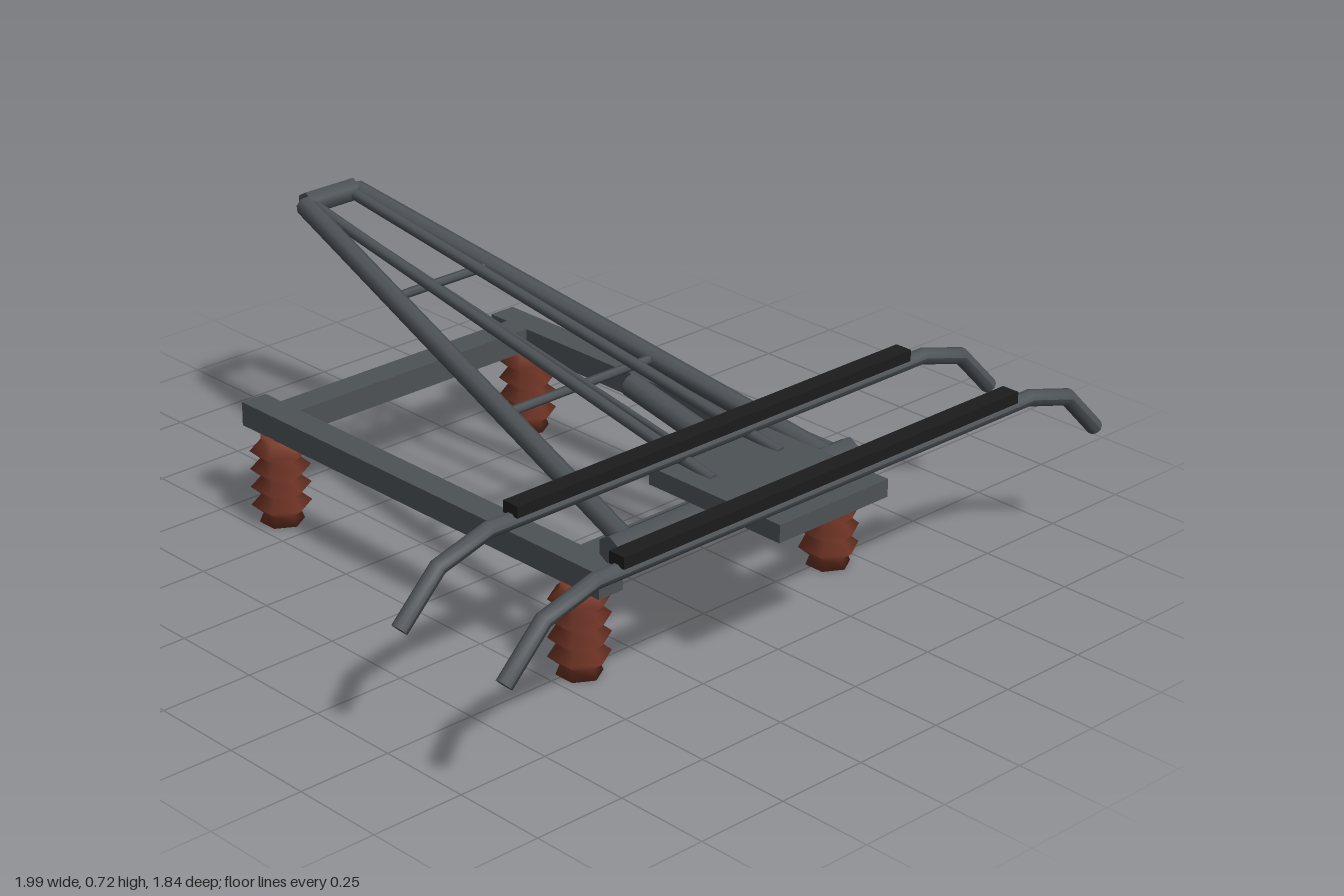
import * as THREE from 'three';

export function createModel() {
  const model = new THREE.Group();
  model.name = 'currentCollector';

  const mat = (name, color) => {
    const m = new THREE.MeshStandardMaterial({ color });
    m.name = name;
    return m;
  };
  const steel = mat('grey steel', 0x4d5256);
  const ceramic = mat('brown ceramic', 0x7a3a2a);
  const carbon = mat('black carbon', 0x1c1c1c);

  const add = (name, geo, material, x = 0, y = 0, z = 0) => {
    const mesh = new THREE.Mesh(geo, material);
    mesh.name = name;
    mesh.position.set(x, y, z);
    model.add(mesh);
    return mesh;
  };
  const box = (name, w, h, d, material, x, y, z) =>
    add(name, new THREE.BoxGeometry(w, h, d), material, x, y, z);

  // Round bar between two points
  const bar = (name, a, b, r, sides = 8) => {
    const p = new THREE.Vector3(...a), q = new THREE.Vector3(...b);
    const dir = q.clone().sub(p);
    const mesh = add(name, new THREE.CylinderGeometry(r, r, dir.length(), sides), steel);
    mesh.position.copy(p).add(q).multiplyScalar(0.5);
    mesh.quaternion.setFromUnitVectors(new THREE.Vector3(0, 1, 0), dir.normalize());
    return mesh;
  };

  // Hexagonal bar lying across the model, one edge on top
  const hexBar = (name, length, r, y, z) => {
    const geo = new THREE.CylinderGeometry(r, r, length, 6);
    geo.rotateY(Math.PI / 2).rotateZ(Math.PI / 2);
    return add(name, geo, steel, 0, y, z);
  };

  // Base frame
  for (const s of [1, -1]) {
    box('sideRail', 0.076, 0.064, 1.315, steel, s * 0.422, 0.274, -0.04);
  }
  box('rearCrossRail', 0.77, 0.064, 0.076, steel, 0, 0.274, -0.597);
  box('frontCrossRail', 0.77, 0.064, 0.076, steel, 0, 0.274, 0.512);

  // Ribbed insulators
  const profile = [[0, 0], [0.058, 0]];
  for (let i = 0; i < 4; i++) {
    const y = 0.05 + i * 0.05;
    profile.push([0.048, y - 0.025], [0.078, y]);
  }
  profile.push([0.048, 0.225], [0.048, 0.243], [0, 0.243]);
  const insulatorGeo = new THREE.LatheGeometry(profile.map(p => new THREE.Vector2(...p)), 6);
  for (const x of [-0.422, 0.422]) {
    for (const z of [-0.597, 0.512]) add('insulator', insulatorGeo, ceramic, x, 0, z);
  }

  // Pivot shaft and elbow joint
  hexBar('pivotShaft', 0.805, 0.037, 0.338, 0.59);
  hexBar('elbowJoint', 0.16, 0.032, 0.686, -0.893);

  // Lower and upper arms
  for (const s of [1, -1]) {
    bar('lowerArm', [s * 0.34, 0.34, 0.58], [s * 0.085, 0.685, -0.888], 0.027);
    bar('upperArm', [s * 0.112, 0.44, 0.635], [s * 0.065, 0.685, -0.885], 0.015);
  }
  bar('controlRod', [0, 0.37, 0.7], [0, 0.636, -0.885], 0.008, 6);
  bar('rearArmBrace', [-0.15, 0.582, -0.45], [0.15, 0.582, -0.45], 0.012, 6);
  bar('frontArmBrace', [-0.235, 0.463, 0.065], [0.235, 0.463, 0.065], 0.012, 6);

  // Lifting cylinder
  bar('liftCylinder', [0.2, 0.315, 0.43], [0.2, 0.394, 0.03], 0.031, 10);

  // Collector head plate
  box('headPlate', 0.36, 0.046, 0.425, steel, 0, 0.424, 0.703);

  // Bent horn tube with mitred corners
  const path = [[-0.983, 0.318], [-0.868, 0.434], [-0.72, 0.476],
    [0.72, 0.476], [0.868, 0.434], [0.983, 0.318]].map(p => new THREE.Vector2(...p));
  const last = path.length - 1;
  const hornGeo = new THREE.CylinderGeometry(0.021, 0.021, 1, 10, last);
  hornGeo.rotateZ(-Math.PI / 2);
  const pos = hornGeo.attributes.position;
  const normalOf = i => {
    const d = path[i + 1].clone().sub(path[i]).normalize();
    return new THREE.Vector2(-d.y, d.x);
  };
  for (let i = 0; i < pos.count; i++) {
    const k = Math.round((pos.getX(i) + 0.5) * last);
    const n0 = normalOf(Math.max(k - 1, 0));
    const n1 = normalOf(Math.min(k, last - 1));
    const n = n0.clone().add(n1).normalize();
    const offset = pos.getY(i) / n.dot(n0);
    pos.setXY(i, path[k].x + n.x * offset, path[k].y + n.y * offset);
  }
  hornGeo.computeVertexNormals();

  // Two horns, each carrying a contact strip
  for (const z of [0.53, 0.876]) {
    add('hornTube', hornGeo, steel, 0, 0, z);
    box('contactStrip', 1.305, 0.03, 0.048, carbon, 0, 0.505, z);
  }

  return model;
}
